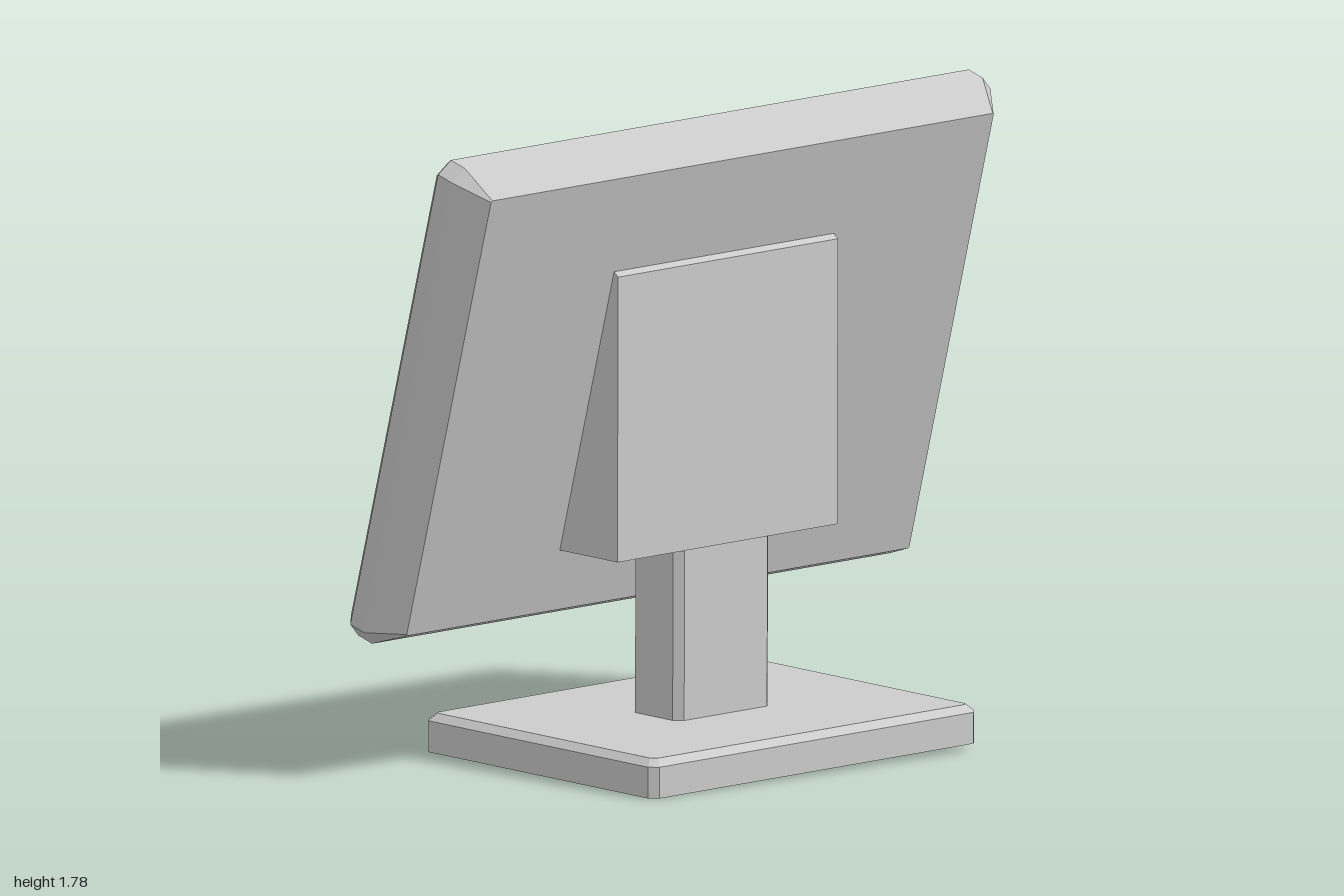
import * as THREE from 'three';

const material = new THREE.MeshStandardMaterial({ color: 0xcccccc, flatShading: true });

// Rectangle with cut corners, lying in the XZ plane at height y
function cutRect([hx, hz, cut, y]) {
  const ring = [];
  for (const [sx, sz] of [[1, 1], [-1, 1], [-1, -1], [1, -1]]) {
    const onZ = new THREE.Vector3(sx * hx, y, sz * (hz - cut));
    const onX = new THREE.Vector3(sx * (hx - cut), y, sz * hz);
    ring.push(...(sx === sz ? [onZ, onX] : [onX, onZ]));
  }
  return ring;
}

// Skin a stack of cut rectangles [halfX, halfZ, cornerCut, y] and cap both ends
function loft(sections) {
  const rings = sections.map(cutRect);
  const n = rings[0].length;
  const points = [];
  for (let i = 0; i < rings.length - 1; i++) {
    const a = rings[i], b = rings[i + 1];
    for (let j = 0; j < n; j++) {
      const k = (j + 1) % n;
      points.push(a[j], b[j], a[k], a[k], b[j], b[k]);
    }
  }
  const first = rings[0], last = rings[rings.length - 1];
  for (let j = 1; j < n - 1; j++) {
    points.push(first[0], first[j], first[j + 1], last[0], last[j + 1], last[j]);
  }
  const geometry = new THREE.BufferGeometry().setFromPoints(points);
  geometry.computeVertexNormals();
  return geometry;
}

function part(name, geometry) {
  const mesh = new THREE.Mesh(geometry, material);
  mesh.name = name;
  return mesh;
}

export function createModel() {
  const model = new THREE.Group();
  model.name = 'monitor';

  // Everything sits on a body that leans very slightly
  const body = new THREE.Group();
  body.name = 'body';
  body.position.set(-0.003, 0.02, -0.012);
  body.rotation.set(0.016, -0.006, -0.02);
  model.add(body);

  // Base plate with a bevelled top edge
  body.add(part('base', loft([
    [0.46, 0.598, 0.022, 0],
    [0.46, 0.598, 0.022, 0.086],
    [0.438, 0.576, 0.014, 0.106],
  ])));

  // Upright post
  body.add(part('stand', loft([
    [0.097, 0.174, 0.022, 0.09],
    [0.097, 0.174, 0.022, 0.62],
  ])));

  // Wedge that carries the screen
  const profile = new THREE.Shape([
    [-0.15, 0.575], [0.103, 0.575], [0.103, 1.36], [0.075, 1.382],
  ].map(([x, y]) => new THREE.Vector2(x, y)));
  const wedge = new THREE.ExtrudeGeometry(profile, { depth: 0.806, bevelEnabled: false });
  wedge.translate(0, 0, -0.403);
  body.add(part('mount', wedge));

  // Screen housing: back to front, then over the frame and down to the display
  const housing = loft([
    [0.645, 0.921, 0.004, 0],
    [0.705, 0.987, 0.038, 0.095],
    [0.705, 0.987, 0.038, 0.152],
    [0.686, 0.968, 0.034, 0.175],
    [0.638, 0.916, 0.04, 0.175],
    [0.626, 0.904, 0.034, 0.13],
  ]);
  housing.rotateZ(Math.PI / 2);
  const screen = part('screen', housing);
  screen.position.set(-0.007, 1.023, 0);
  screen.rotation.z = -0.263;
  body.add(screen);

  return model;
}
